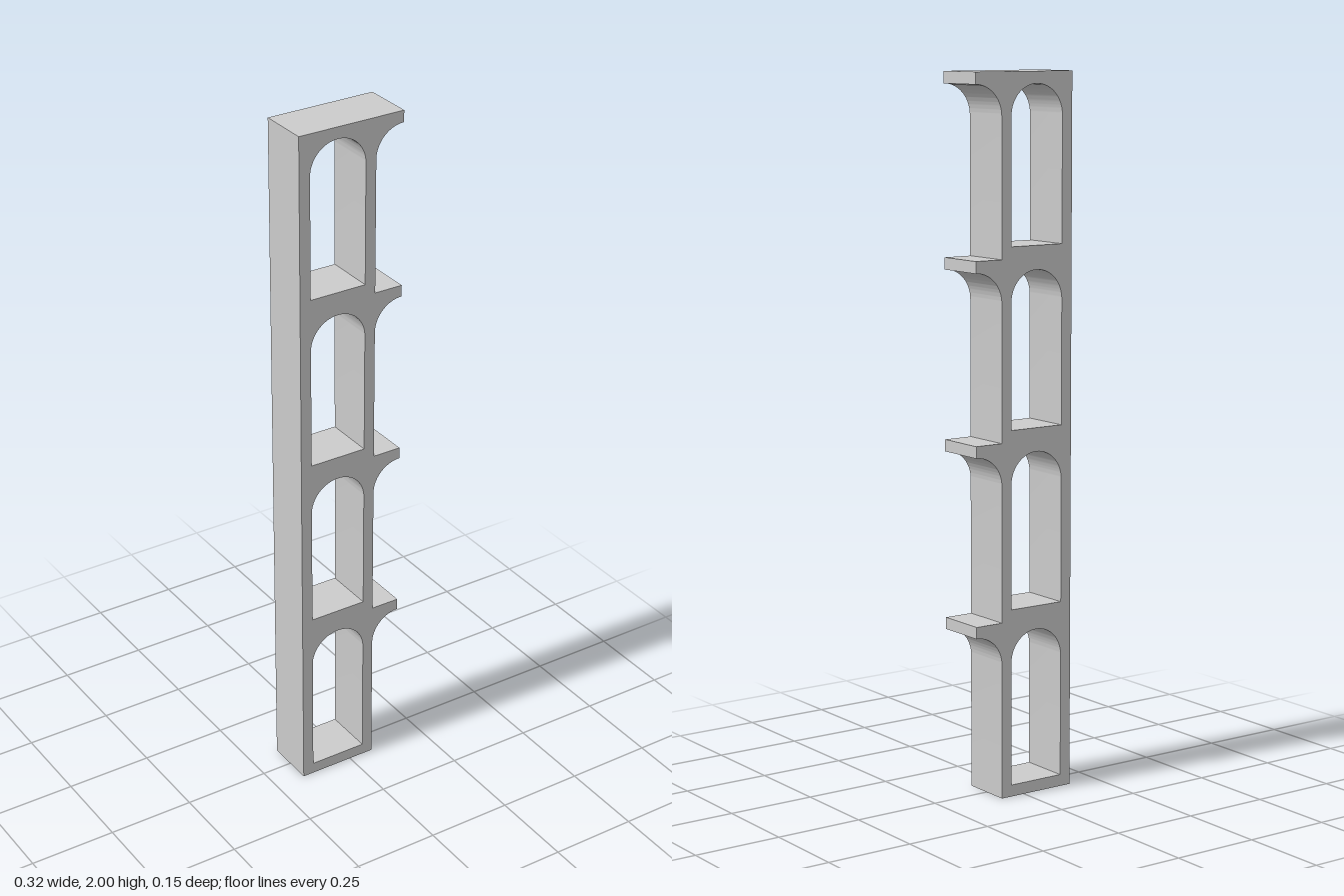
import * as THREE from 'three';
import { toCreasedNormals } from 'three/addons/utils/BufferGeometryUtils.js';

const BAYS = 4, BAY = 0.5;           // storeys and their height
const LEFT = -0.16, RIGHT = 0.075;   // outer faces of the frame
const TIP = 0.16;                    // end of the side ledges
const WALL = 0.033, R = 0.085;       // wall thickness, arch radius
const DEPTH = 0.148;

// Arched opening of one storey
function archHole(y) {
  const x0 = LEFT + WALL, x1 = x0 + 2 * R, spring = y + BAY - WALL - R;
  const hole = new THREE.Path();
  hole.moveTo(x0, y + WALL);
  hole.lineTo(x1, y + WALL);
  hole.lineTo(x1, spring);
  hole.absarc(x0 + R, spring, R, 0, Math.PI, false);
  hole.lineTo(x0, y + WALL);
  return hole;
}

export function createModel() {
  const group = new THREE.Group();
  group.name = 'arcadeFrame';

  // Outline: straight back, one coved ledge at the top of every storey
  const outline = new THREE.Shape();
  outline.moveTo(LEFT, 0);
  outline.lineTo(RIGHT, 0);
  for (let i = 0; i < BAYS; i++) {
    const top = (i + 1) * BAY;
    outline.lineTo(RIGHT, top - WALL - R);
    outline.absarc(TIP, top - WALL - R, TIP - RIGHT, Math.PI, Math.PI / 2, true);
    outline.lineTo(TIP, top);
    if (i < BAYS - 1) outline.lineTo(RIGHT, top);
    outline.holes.push(archHole(i * BAY));
  }
  outline.lineTo(LEFT, BAYS * BAY);
  outline.closePath();

  const geometry = new THREE.ExtrudeGeometry(outline, { depth: DEPTH, bevelEnabled: false, curveSegments: 32 });
  geometry.translate(0, 0, -DEPTH / 2);
  const frame = new THREE.Mesh(
    toCreasedNormals(geometry, Math.PI / 6),
    new THREE.MeshStandardMaterial({ color: 0xcccccc })
  );
  frame.name = 'archedFrameWithLedges';
  group.add(frame);
  return group;
}
